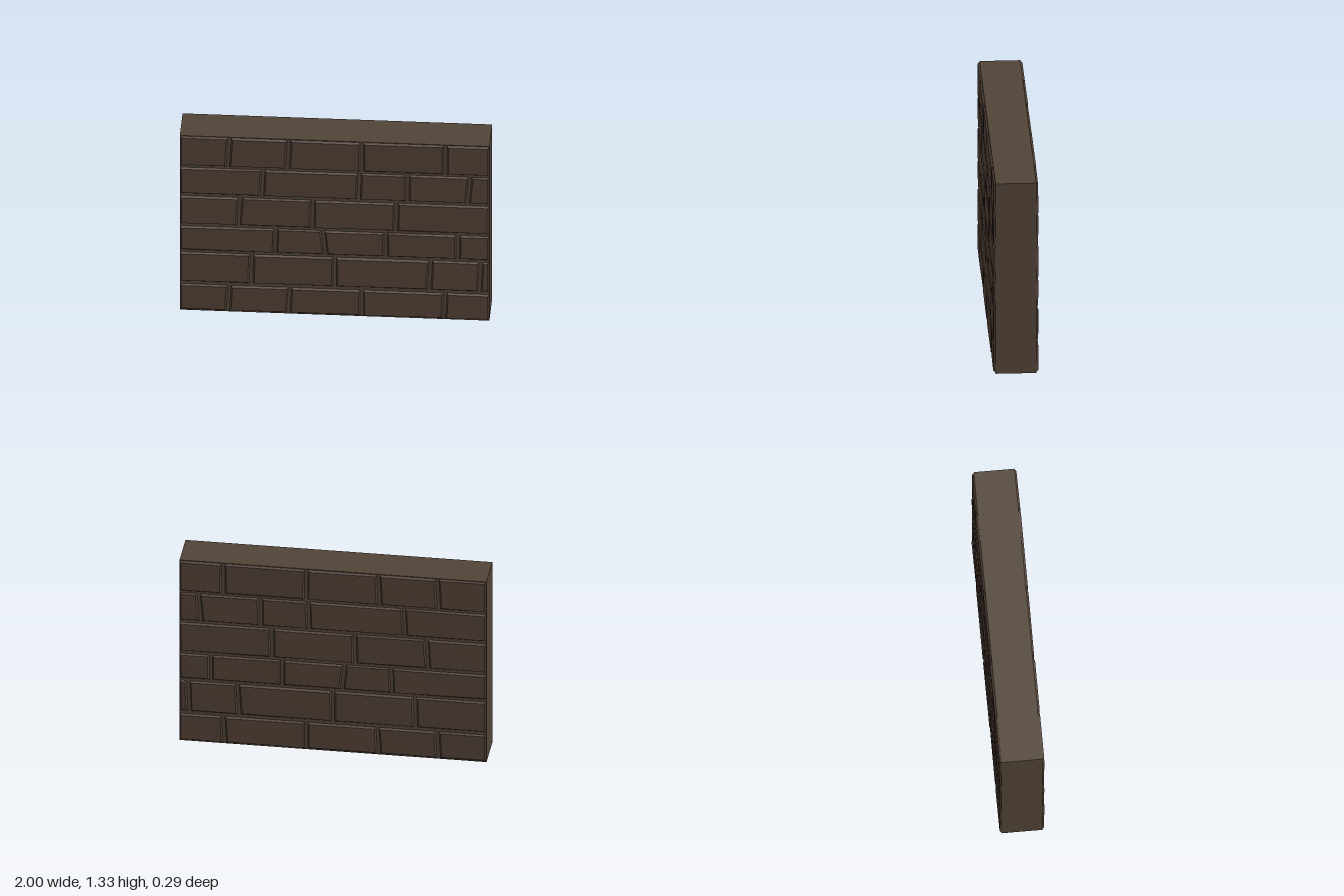
import * as THREE from 'three';

const W = 1, H = 1.333, CORE_Z = 0.132, FACE_Z = 0.145;
const GAP = 0.008;    // half the mortar gap between bricks
const BEVEL = 0.012;  // inset of the raised face

// Each course: bottom, top, and the joints as [x at bottom, x at top]
const courses = [
  { y0: 0.005, y1: 0.203, joints: [[-0.69, -0.68], [-0.3, -0.29], [0.175, 0.175], [0.705, 0.715]] },
  { y0: 0.219, y1: 0.447, joints: [[-0.54, -0.535], [0, 0], [0.61, 0.622], [0.935, 0.945]] },
  { y0: 0.461, y1: 0.647, joints: [[-0.385, -0.38], [-0.06, -0.075], [0.33, 0.33], [0.795, 0.795]] },
  { y0: 0.661, y1: 0.877, joints: [[-0.62, -0.61], [-0.145, -0.14], [0.395, 0.4]] },
  { y0: 0.891, y1: 1.095, joints: [[-0.47, -0.46], [0.155, 0.16], [0.47, 0.472], [0.86, 0.875]] },
  { y0: 1.106, y1: 1.331, joints: [[-0.69, -0.68], [-0.305, -0.295], [0.175, 0.175], [0.715, 0.715]] },
];

// Seeded noise in -1..1 for the hand-cut look
let seed = 7;
function jitter(amount) {
  seed = (seed * 16807) % 2147483647;
  return (seed / 2147483647 * 2 - 1) * amount;
}

// Brick with bevelled sides: base quad on the core and a slightly uneven raised face
function brickGeometry(left, right, y0, y1) {
  const outline = [[left[0], y0], [right[0], y0], [right[1], y1], [left[1], y1]];
  const base = outline.map(([x, y]) => [x, y, CORE_Z - 0.004]);
  const face = outline.map(([x, y], i) => [
    x + (i === 0 || i === 3 ? BEVEL : -BEVEL) + jitter(0.002),
    y + (i < 2 ? BEVEL : -BEVEL) + jitter(0.003),
    FACE_Z + jitter(0.002),
  ]);
  const index = [4, 5, 6, 4, 6, 7];
  for (let i = 0; i < 4; i++) {
    const n = (i + 1) % 4;
    index.push(i, n, n + 4, i, n + 4, i + 4);
  }
  const geometry = new THREE.BufferGeometry();
  geometry.setAttribute('position', new THREE.Float32BufferAttribute([...base, ...face].flat(), 3));
  geometry.setIndex(index);
  const flat = geometry.toNonIndexed();
  flat.computeVertexNormals();
  return flat;
}

// Mirror through the wall, turning the triangles to face outward again
function mirrorZ(geometry) {
  const g = geometry.clone().scale(1, 1, -1);
  const p = g.attributes.position;
  for (let i = 0; i < p.count; i += 3) {
    const b = [p.getX(i + 1), p.getY(i + 1), p.getZ(i + 1)];
    p.setXYZ(i + 1, p.getX(i + 2), p.getY(i + 2), p.getZ(i + 2));
    p.setXYZ(i + 2, ...b);
  }
  g.computeVertexNormals();
  return g;
}

export function createModel() {
  const wall = new THREE.Group();
  wall.name = 'brickWall';
  const brickMat = new THREE.MeshStandardMaterial({ color: 0x514036 });
  brickMat.name = 'brown brick';
  const mortarMat = new THREE.MeshStandardMaterial({ color: 0x514437 });
  mortarMat.name = 'brown mortar';

  // Solid core
  const core = new THREE.Mesh(new THREE.BoxGeometry(2 * W, H, 2 * CORE_Z), mortarMat);
  core.name = 'mortarCore';
  core.position.y = H / 2;
  wall.add(core);

  // Brick courses on both faces
  const front = new THREE.Group(), back = new THREE.Group();
  front.name = 'frontBricks';
  back.name = 'backBricks';
  wall.add(front, back);
  courses.forEach(({ y0, y1, joints }, row) => {
    const edges = [[-W - GAP, -W - GAP], ...joints, [W + GAP, W + GAP]];
    for (let i = 0; i < edges.length - 1; i++) {
      const left = edges[i].map((x) => x + GAP);
      const right = edges[i + 1].map((x) => x - GAP);
      const geometry = brickGeometry(left, right, y0, y1);
      [[front, geometry], [back, mirrorZ(geometry)]].forEach(([side, g]) => {
        const brick = new THREE.Mesh(g, brickMat);
        brick.name = `brick_${row + 1}_${i + 1}`;
        side.add(brick);
      });
    }
  });
  return wall;
}
